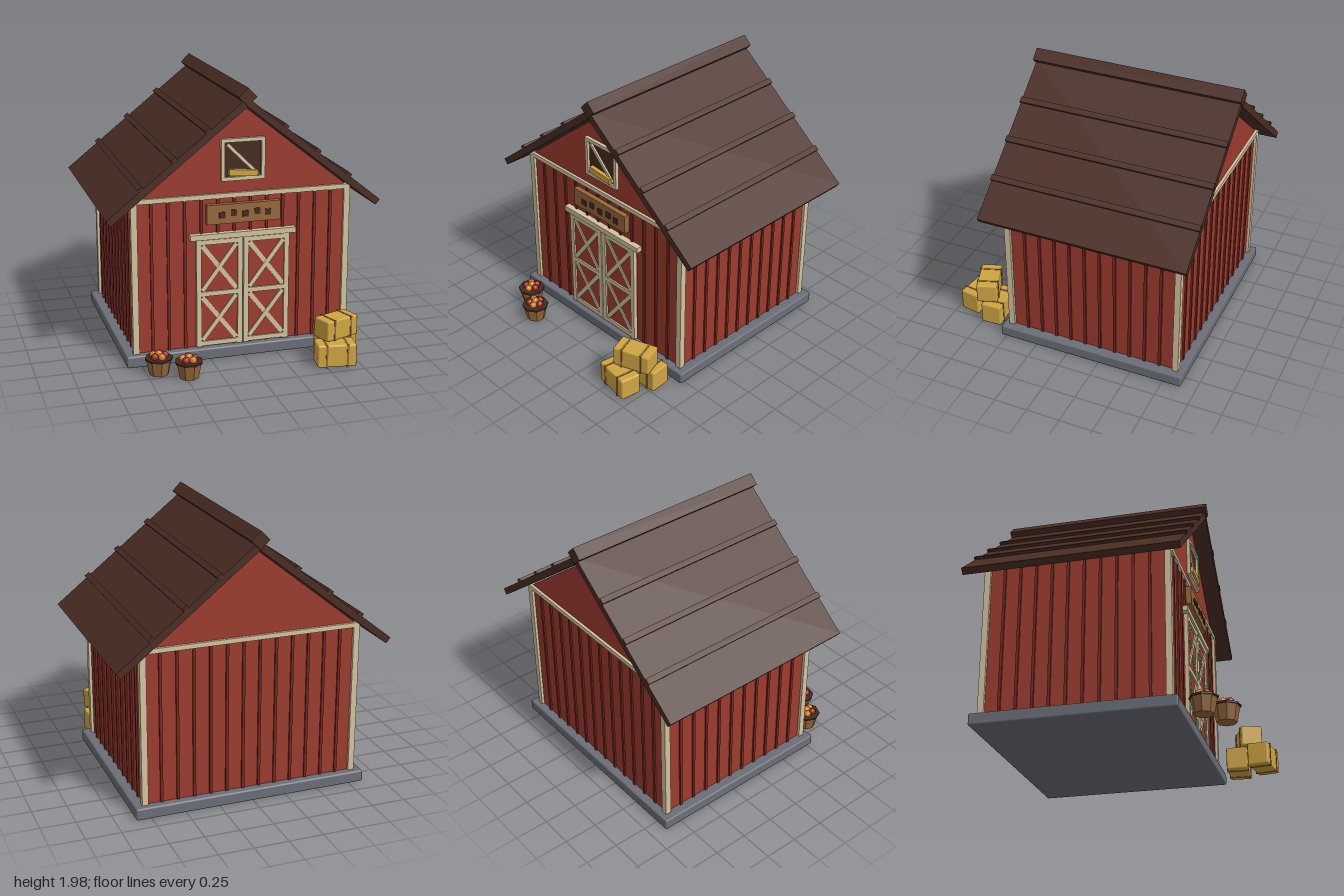
import * as THREE from 'three';
import { RoundedBoxGeometry } from 'three/addons/geometries/RoundedBoxGeometry.js';

const mat = (name, color, flatShading = false) => {
  const m = new THREE.MeshStandardMaterial({ color, flatShading });
  m.name = name;
  return m;
};

export function createModel() {
  const M = {
    red: mat('barn red', 0x9c3b2e),
    batten: mat('dark red batten', 0x74281f),
    roof: mat('roof brown', 0x4a2d23),
    dark: mat('dark brown', 0x452a1e),
    cream: mat('cream trim', 0xd2c3a0),
    stone: mat('stone grey', 0x6b6e78),
    hay: mat('hay yellow', 0xcfa542),
    wood: mat('wood brown', 0x95683a),
    orange: mat('orange fruit', 0xd9822b, true),
    apple: mat('red fruit', 0xa03226, true),
  };
  const barn = new THREE.Group();
  barn.name = 'barn';

  const add = (parent, name, geo, material, x = 0, y = 0, z = 0) => {
    const mesh = new THREE.Mesh(geo, material);
    mesh.name = name;
    mesh.position.set(x, y, z);
    parent.add(mesh);
    return mesh;
  };
  const box = (parent, name, material, w, h, d, x, y, z, rz = 0) => {
    const mesh = add(parent, name, new THREE.BoxGeometry(w, h, d), material, x, y, z);
    mesh.rotation.z = rz;
    return mesh;
  };
  const group = (name, parent = barn) => {
    const g = new THREE.Group();
    g.name = name;
    parent.add(g);
    return g;
  };

  const ZC = -0.175, HALF_W = 0.785, HALF_D = 0.652;

  // Foundation and walls
  add(barn, 'foundation', new RoundedBoxGeometry(1.72, 0.085, 1.43, 1, 0.012), M.stone, 0, 0.0475, ZC);
  box(barn, 'walls', M.red, HALF_W * 2, 1.12, HALF_D * 2, 0, 0.65, ZC);

  // Gable prism running the whole depth
  const tri = new THREE.Shape([
    new THREE.Vector2(-0.79, 1.208), new THREE.Vector2(0.79, 1.208), new THREE.Vector2(0, 1.838),
  ]);
  add(barn, 'gable', new THREE.ExtrudeGeometry(tri, { depth: HALF_D * 2, bevelEnabled: false }),
    M.red, 0, 0, ZC - HALF_D);

  // Vertical battens on all four walls
  const battens = group('battens');
  for (const s of [-1, 1]) {
    for (let i = 0; i < 12; i++)
      box(battens, 'endBatten', M.batten, 0.02, 1.1, 0.024, -0.66 + i * 0.12, 0.64, ZC + s * HALF_D);
    for (let i = 0; i < 10; i++)
      box(battens, 'sideBatten', M.batten, 0.024, 1.1, 0.02, s * HALF_W, 0.64, 0.345 - i * 0.116);
  }

  // Corner posts and the beams under the gables
  const trim = group('trim');
  for (const sz of [-1, 1]) {
    for (const sx of [-1, 1])
      box(trim, 'cornerPost', M.cream, 0.045, 1.1, 0.045, sx * 0.783, 0.64, ZC + sz * 0.65);
    box(trim, 'gableBeam', M.cream, 1.61, 0.034, 0.045, 0, 1.205, ZC + sz * 0.65);
  }

  // Roof: two sloping slabs with raised strips and a diamond ridge
  const roof = group('roof');
  const pitch = Math.atan(0.795);
  const c = Math.cos(pitch), s = Math.sin(pitch);
  const RL = 0.98 / c;
  for (const side of [-1, 1]) {
    const slope = group(side > 0 ? 'leftSlope' : 'rightSlope', roof);
    slope.position.set(0, 1.878, ZC);
    slope.rotation.z = -side * pitch;
    box(slope, 'roofSlab', M.roof, RL, 0.05, 1.545, side * RL / 2, 0, 0);
    for (const x of [0.27, 0.51, 0.745])
      box(slope, 'roofStrip', M.roof, 0.042, 0.03, 1.55, side * (x / c - 0.025 * s), 0.03, 0);
  }
  box(roof, 'ridgeCap', M.roof, 0.092, 0.092, 1.563, 0, 1.915, ZC - 0.001, Math.PI / 4);

  // Double doors with crossed braces
  const doors = group('doors');
  for (const side of [-1, 1]) {
    const door = group(side > 0 ? 'leftDoor' : 'rightDoor', doors);
    door.position.x = side * 0.174;
    box(door, 'doorPanel', M.red, 0.335, 0.79, 0.025, 0, 0.498, 0.487);
    for (const e of [-1, 1])
      box(door, 'doorStile', M.cream, 0.036, 0.8, 0.026, e * 0.152, 0.498, 0.499);
    for (const y of [0.12, 0.495, 0.878])
      box(door, 'doorRail', M.cream, 0.27, 0.034, 0.025, 0, y, 0.499);
    for (const [y0, y1] of [[0.137, 0.478], [0.512, 0.861]])
      for (const e of [-1, 1]) {
        const w = 0.252, h = y1 - y0 - 0.015;
        box(door, 'doorBrace', M.cream, Math.hypot(w, h), 0.032, 0.018,
          0, (y0 + y1) / 2, 0.499 + e * 0.001, e * Math.atan2(h, w));
      }
  }
  box(doors, 'doorTrack', M.cream, 0.78, 0.04, 0.05, 0, 0.92, 0.497);

  // Sign board with plain square studs
  const sign = group('signBoard');
  box(sign, 'board', M.wood, 0.54, 0.14, 0.04, 0, 1.08, 0.505);
  [-0.16, -0.075, 0.01, 0.098, 0.175].forEach((x, i) =>
    box(sign, 'stud', M.dark, 0.044, 0.044, 0.009, x, i % 2 ? 1.086 : 1.074, 0.527));

  // Loft window with a diagonal bar and some hay
  const loft = group('loftWindow');
  box(loft, 'opening', M.dark, 0.29, 0.27, 0.012, 0, 1.46, 0.477);
  for (const e of [-1, 1]) {
    box(loft, 'windowSide', M.cream, 0.026, 0.3, 0.035, e * 0.147, 1.46, 0.485);
    box(loft, 'windowRail', M.cream, 0.27, 0.026, 0.035, 0, 1.46 + e * 0.137, 0.485);
  }
  box(loft, 'windowBar', M.cream, 0.32, 0.024, 0.015, 0, 1.457, 0.489, -Math.PI / 4);
  box(loft, 'loftHay', M.hay, 0.21, 0.045, 0.04, 0, 1.364, 0.495, -0.08);

  // Hay bales with two straps each
  const bales = group('hayBales');
  for (const [x, y, z, turn] of [
    [0.645, 0.095, 0.675, 0.05], [0.575, 0.095, 0.867, -0.15], [0.62, 0.253, 0.757, 0.34],
  ]) {
    const bale = group('hayBale', bales);
    bale.position.set(x, y, z);
    bale.rotation.y = turn;
    const h = y > 0.2 ? 0.15 : 0.165;
    add(bale, 'hay', new RoundedBoxGeometry(0.28, h, 0.155, 1, 0.012), M.hay);
    for (const e of [-1, 1])
      box(bale, 'strap', M.wood, 0.014, h + 0.006, 0.161, e * 0.075, 0, 0);
  }

  // Eight-sided baskets of fruit
  const baskets = group('baskets');
  for (const [x, z, turn] of [[-0.663, 0.67, 0], [-0.477, 0.785, 0.2]]) {
    const basket = group('fruitBasket', baskets);
    basket.position.set(x, 0, z);
    basket.rotation.y = turn;
    const sides = new THREE.CylinderGeometry(0.092, 0.07, 0.112, 8).toNonIndexed();
    sides.computeVertexNormals();
    add(basket, 'basketBody', sides, M.wood, 0, 0.06, 0);
    const rim = new THREE.CylinderGeometry(0.1, 0.1, 0.014, 8).toNonIndexed();
    rim.computeVertexNormals();
    add(basket, 'basketRim', rim, M.dark, 0, 0.12, 0);
    for (let i = 0; i < 6; i++) {
      const a = i * Math.PI * 2 / 5, r = i < 5 ? 0.043 : 0;
      add(basket, 'fruit', new THREE.IcosahedronGeometry(0.027, 1), i % 2 ? M.orange : M.apple,
        Math.cos(a) * r, i < 5 ? 0.14 : 0.152, Math.sin(a) * r);
    }
  }
  return barn;
}
